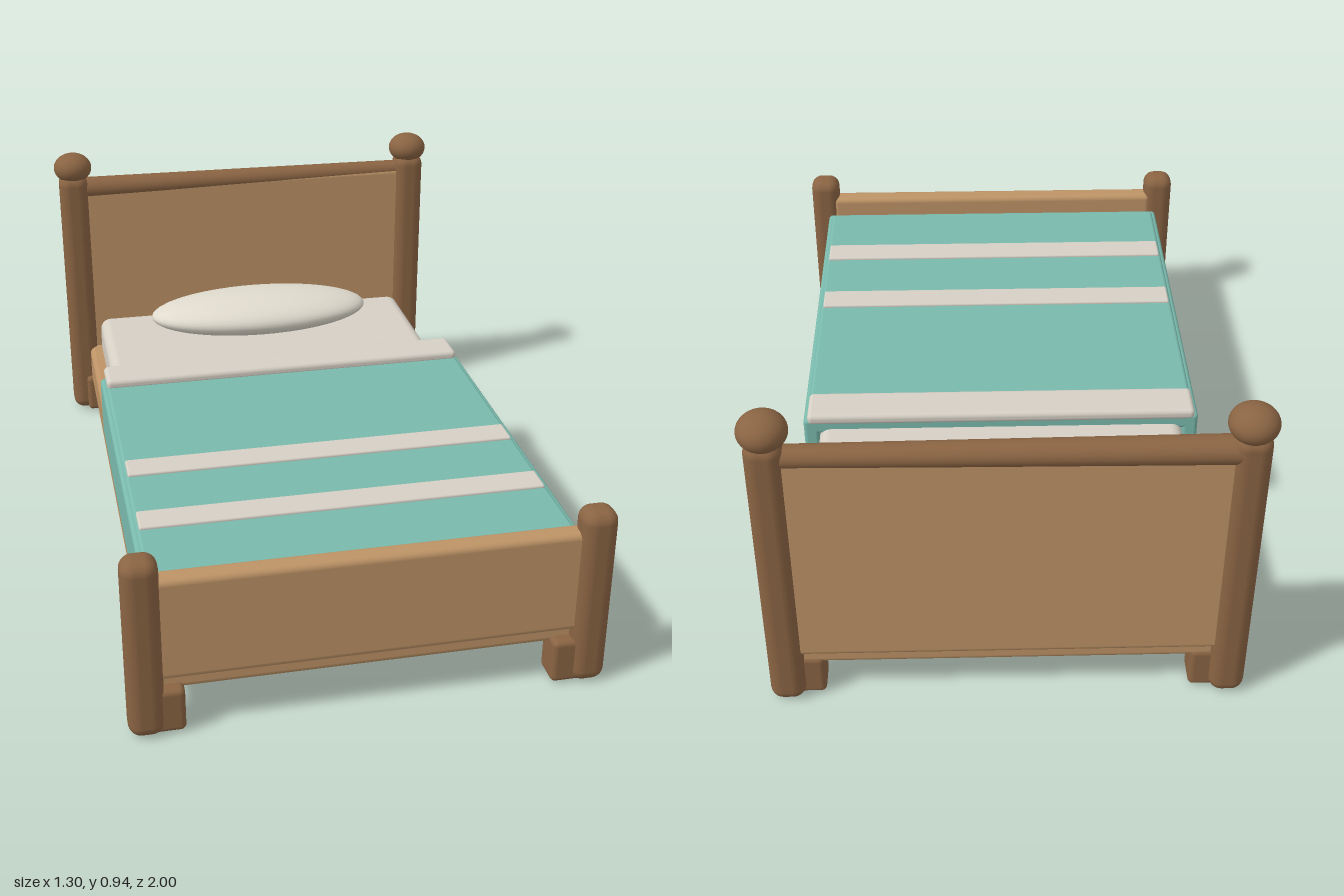
import * as THREE from 'three';
import { RoundedBoxGeometry } from 'three/addons/geometries/RoundedBoxGeometry.js';

const material = (name, color) => new THREE.MeshStandardMaterial({ name, color });

export function createModel() {
  const darkWood = material('darkWood', 0x8a6443);
  const lightWood = material('lightWood', 0xbd9366);
  const teal = material('tealBlanket', 0x79b9ac);
  const linen = material('linen', 0xd5cfc4);
  const pillowWhite = material('pillowWhite', 0xdfdacd);

  const bed = new THREE.Group();
  bed.name = 'bed';

  const add = (name, geometry, mat) => {
    const mesh = new THREE.Mesh(geometry, mat);
    mesh.name = name;
    bed.add(mesh);
    return mesh;
  };
  // Rounded block given by its [min, max] along each axis
  const block = (name, mat, [x0, x1], [y0, y1], [z0, z1], radius) => {
    const mesh = add(name, new RoundedBoxGeometry(x1 - x0, y1 - y0, z1 - z0, 4, radius), mat);
    mesh.position.set((x0 + x1) / 2, (y0 + y1) / 2, (z0 + z1) / 2);
    return mesh;
  };
  const ellipsoid = (name, mat, position, radii) => {
    const geometry = new THREE.SphereGeometry(1, 40, 24).scale(...radii);
    add(name, geometry, mat).position.set(...position);
  };

  // Frame and end boards
  block('bedFrame', lightWood, [-0.567, 0.567], [0.11, 0.237], [-0.95, 0.95], 0.018);
  block('headboard', lightWood, [-0.56, 0.56], [0.155, 0.82], [-0.968, -0.905], 0.018);
  block('footboard', lightWood, [-0.56, 0.56], [0.157, 0.452], [0.915, 0.975], 0.018);

  // Slightly tapered rail on top of the headboard
  const rail = new THREE.CylinderGeometry(0.032, 0.041, 1.12, 28).rotateZ(-Math.PI / 2).scale(1, 0.9, 1);
  add('headRail', rail, darkWood).position.set(0, 0.812, -0.94);

  // Posts, finials and inner feet, mirrored
  for (const s of [-1, 1]) {
    const side = s > 0 ? 'left' : 'right';
    const span = (a, b) => (s > 0 ? [a, b] : [-b, -a]);
    block(side + 'HeadPost', darkWood, span(0.539, 0.634), [0, 0.868], [-0.985, -0.882], 0.035);
    block(side + 'FootPost', darkWood, span(0.539, 0.634), [0, 0.517], [0.91, 1], 0.035);
    ellipsoid(side + 'Finial', darkWood, [s * 0.585, 0.888, -0.936], [0.063, 0.049, 0.063]);
    block(side + 'HeadFoot', darkWood, span(0.486, 0.586), [0.003, 0.13], [-0.955, -0.863], 0.015);
    block(side + 'FrontFoot', darkWood, span(0.486, 0.586), [0.003, 0.13], [0.895, 0.985], 0.015);
    block(side + 'BlanketDrape', teal, span(0.53, 0.575), [0.215, 0.404], [-0.285, 0.895], 0.012);
  }

  // Bedding
  block('mattress', linen, [-0.53, 0.53], [0.236, 0.373], [-0.845, 0.918], 0.035);
  block('blanketTop', teal, [-0.563, 0.563], [0.355, 0.412], [-0.285, 0.882], 0.012);
  block('foldedSheet', linen, [-0.561, 0.561], [0.402, 0.436], [-0.306, -0.188], 0.014);
  for (const z of [0.335, 0.62]) {
    block('blanketStripe', linen, [-0.555, 0.555], [0.404, 0.42], [z - 0.044, z + 0.044], 0.006);
  }
  ellipsoid('pillow', pillowWhite, [0, 0.436, -0.653], [0.367, 0.065, 0.155]);

  return bed;
}
